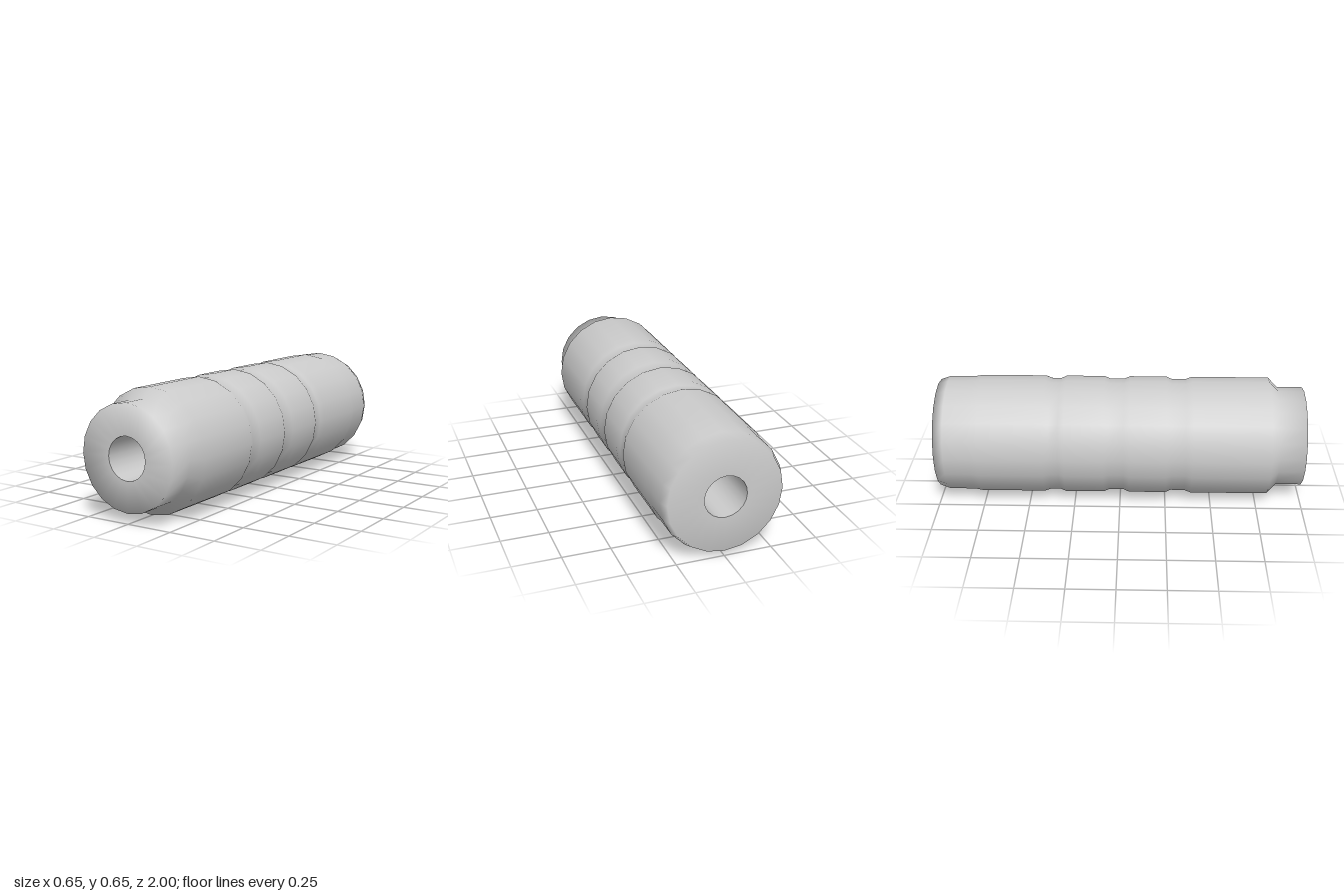
import * as THREE from 'three';

const SIDES = 20, R = 0.324, GROOVE = 0.311, NECK = 0.272, BORE = 0.111;

export function createModel() {
  const group = new THREE.Group();
  group.name = 'groovedSleeve';
  const material = new THREE.MeshStandardMaterial({ color: 0xcccccc });

  // Turns a [radius, z] profile around the z axis
  const turn = (name, profile) => {
    const points = profile.map(([r, z]) => new THREE.Vector2(r, z));
    const geometry = new THREE.LatheGeometry(points, SIDES);
    geometry.rotateX(Math.PI / 2);
    geometry.translate(0, R, 0);
    const mesh = new THREE.Mesh(geometry, material);
    mesh.name = name;
    group.add(mesh);
  };

  // Each groove: start and end of its outer lips and of its floor
  const grooves = [
    [-0.415, -0.38, -0.33, -0.30],
    [-0.09, -0.06, 0.02, 0.05],
    [0.25, 0.28, 0.355, 0.39],
  ].flatMap(([a, b, c, d]) => [[R, a], [GROOVE, b], [GROOVE, c], [R, d]]);

  // Outer shell: bevelled back, grooved body, shoulder and front neck
  turn('body', [
    [BORE, -1], [0.297, -1], [0.316, -0.945], [0.317, -0.805], [R, -0.765],
    ...grooves,
    [R, 0.81], [NECK, 0.86], [NECK, 1], [BORE, 1],
  ]);

  // Through hole, facing inward
  turn('bore', [[BORE, 1], [BORE, -1]]);

  return group;
}
